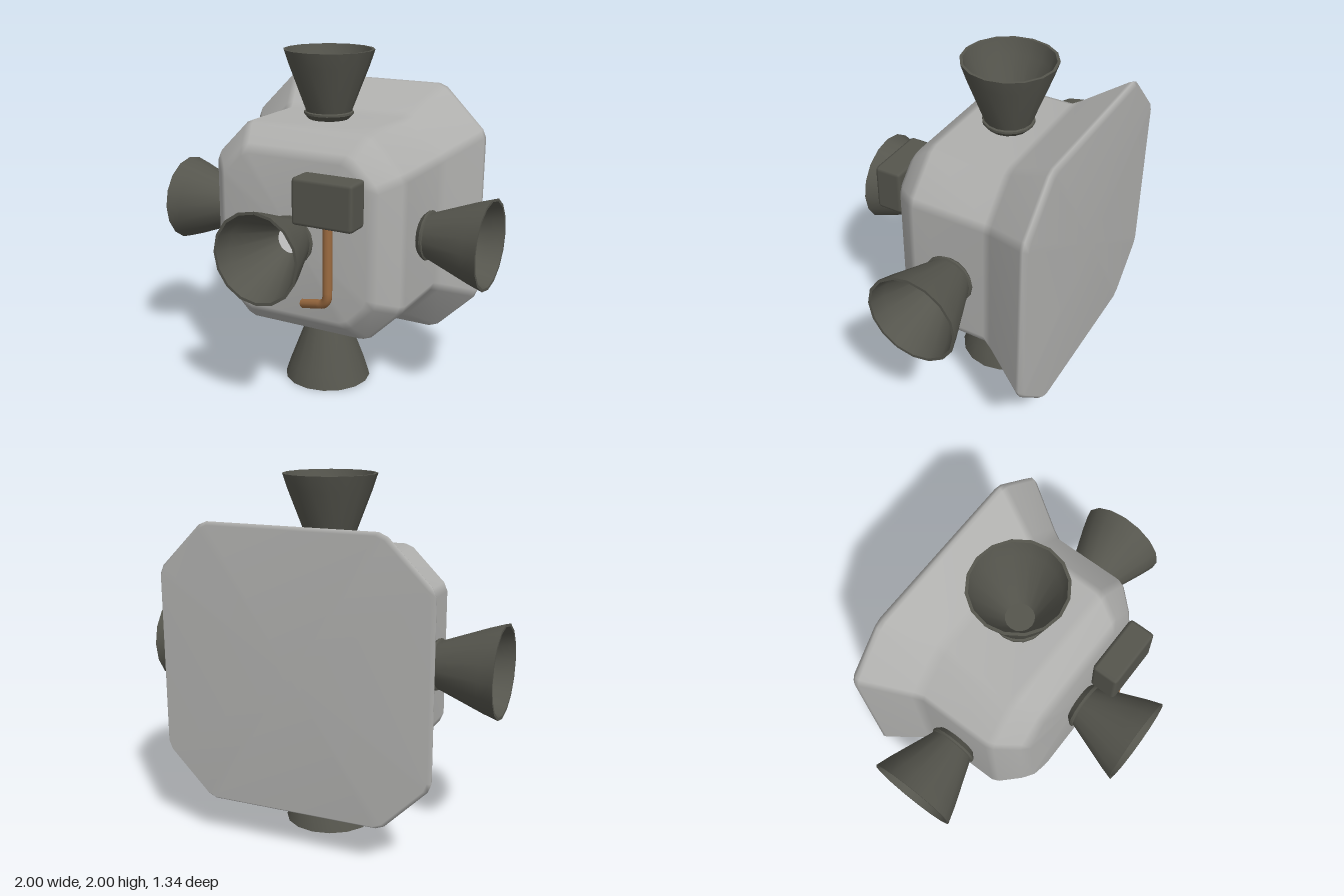
import * as THREE from 'three';
import { toCreasedNormals } from 'three/addons/utils/BufferGeometryUtils.js';
import { RoundedBoxGeometry } from 'three/addons/geometries/RoundedBoxGeometry.js';

const material = (name, color) => {
  const m = new THREE.MeshStandardMaterial({ color });
  m.name = name;
  return m;
};

// Octagon with softened corners, counter-clockwise seen from +z
function octagon(half, cut, soft = 0.028) {
  const c = half - cut;
  const corners = [];
  for (const [x, y] of [[half, -c], [half, c], [c, half], [-c, half], [-half, c], [-half, -c], [-c, -half], [c, -half]]) {
    corners.push(new THREE.Vector2(x, y));
  }
  return corners.flatMap((p, i) => [corners[(i + 7) % 8], corners[(i + 1) % 8]].map(
    (q) => p.clone().add(q.clone().sub(p).setLength(soft))));
}

// Hull lofted from back to front through octagonal sections [z, half width, corner cut]
function hullGeometry() {
  const sections = [
    [-0.67, 0.757, 0.262], [-0.645, 0.775, 0.27], [-0.625, 0.77, 0.27],
    [-0.39, 0.633, 0.228], [-0.335, 0.607, 0.222],
    [0.085, 0.606, 0.222], [0.125, 0.59, 0.213],
    [0.23, 0.5, 0.165], [0.27, 0.45, 0.135],
  ];
  const pos = [], index = [], n = 16;
  for (const [z, half, cut] of sections) {
    for (const p of octagon(half, cut)) pos.push(p.x, p.y, z);
  }
  const last = sections.length - 1, back = n * sections.length, front = back + 1;
  pos.push(0, 0, sections[0][0], 0, 0, sections[last][0]);
  for (let i = 0; i < n; i++) {
    const j = (i + 1) % n;
    for (let r = 0; r < last; r++) {
      const a = r * n + i, b = r * n + j;
      index.push(a, b, b + n, a, b + n, a + n);
    }
    index.push(back, j, i, front, last * n + i, last * n + j);
  }
  const g = new THREE.BufferGeometry();
  g.setAttribute('position', new THREE.Float32BufferAttribute(pos, 3));
  g.setIndex(index);
  g.computeVertexNormals();
  return g;
}

export function createModel() {
  const model = new THREE.Group();
  model.name = 'thrusterBlock';
  const hullGrey = material('hullGrey', 0xb0b0ae);
  const darkMetal = material('darkMetal', 0x55554d);
  const copper = material('copper', 0x9c6b40);
  const white = material('white', 0xffffff);

  const add = (name, geometry, mat, parent = model) => {
    const mesh = new THREE.Mesh(geometry, mat);
    mesh.name = name;
    parent.add(mesh);
    return mesh;
  };

  add('hull', hullGeometry(), hullGrey).position.y = 1;

  // Nozzle: collar, flared bell, rim and inner cone, pointing along +y
  const profile = [
    [0.105, -0.01], [0.143, 0.03], [0.143, 0.042], [0.132, 0.046],
    [0.232, 0.31], [0.26, 0.395], [0.244, 0.395], [0.218, 0.31], [0.078, 0.025],
  ].map(([x, y]) => new THREE.Vector2(x, y));
  const bell = toCreasedNormals(new THREE.LatheGeometry(profile, 16), 0.6);
  const throat = new THREE.CircleGeometry(0.08, 16).rotateX(-Math.PI / 2);
  const up = new THREE.Vector3(0, 1, 0);
  const nozzles = [
    ['top', [0, 1, 0]], ['bottom', [0, -1, 0]], ['left', [1, 0, 0]], ['right', [-1, 0, 0]], ['front', [0, 0, 1]],
  ];
  for (const [side, d] of nozzles) {
    const dir = new THREE.Vector3(...d);
    const isFront = side === 'front';
    const nozzle = new THREE.Group();
    nozzle.name = side + 'Nozzle';
    add(side + 'Bell', bell, darkMetal, nozzle);
    add(side + 'Throat', throat, isFront ? white : darkMetal, nozzle).position.y = 0.027;
    nozzle.quaternion.setFromUnitVectors(up, dir);
    nozzle.position.set(0, 1, isFront ? 0 : -0.145).addScaledVector(dir, isFront ? 0.272 : 0.605);
    model.add(nozzle);
  }

  // Control box on the front face
  add('controlBox', new RoundedBoxGeometry(0.365, 0.265, 0.16, 1, 0.022), darkMetal).position.set(0.262, 1.267, 0.355);

  // Feed pipe: straight drop, bend, then in towards the hull
  const start = new THREE.Vector3(0.265, 1.16, 0.36);
  const bendStart = new THREE.Vector3(0.265, 0.75, 0.36);
  const bendCorner = new THREE.Vector3(0.265, 0.685, 0.355);
  const bendEnd = new THREE.Vector3(0.205, 0.672, 0.338);
  const end = new THREE.Vector3(0.075, 0.633, 0.292);
  const path = new THREE.CurvePath();
  path.add(new THREE.LineCurve3(start, bendStart));
  path.add(new THREE.QuadraticBezierCurve3(bendStart, bendCorner, bendEnd));
  path.add(new THREE.LineCurve3(bendEnd, end));
  add('feedPipe', new THREE.TubeGeometry(path, 48, 0.027, 10), copper);
  const cap = add('pipeEnd', new THREE.CircleGeometry(0.027, 10), copper);
  cap.position.copy(end);
  cap.quaternion.setFromUnitVectors(new THREE.Vector3(0, 0, 1), end.clone().sub(bendEnd).normalize());

  return model;
}
